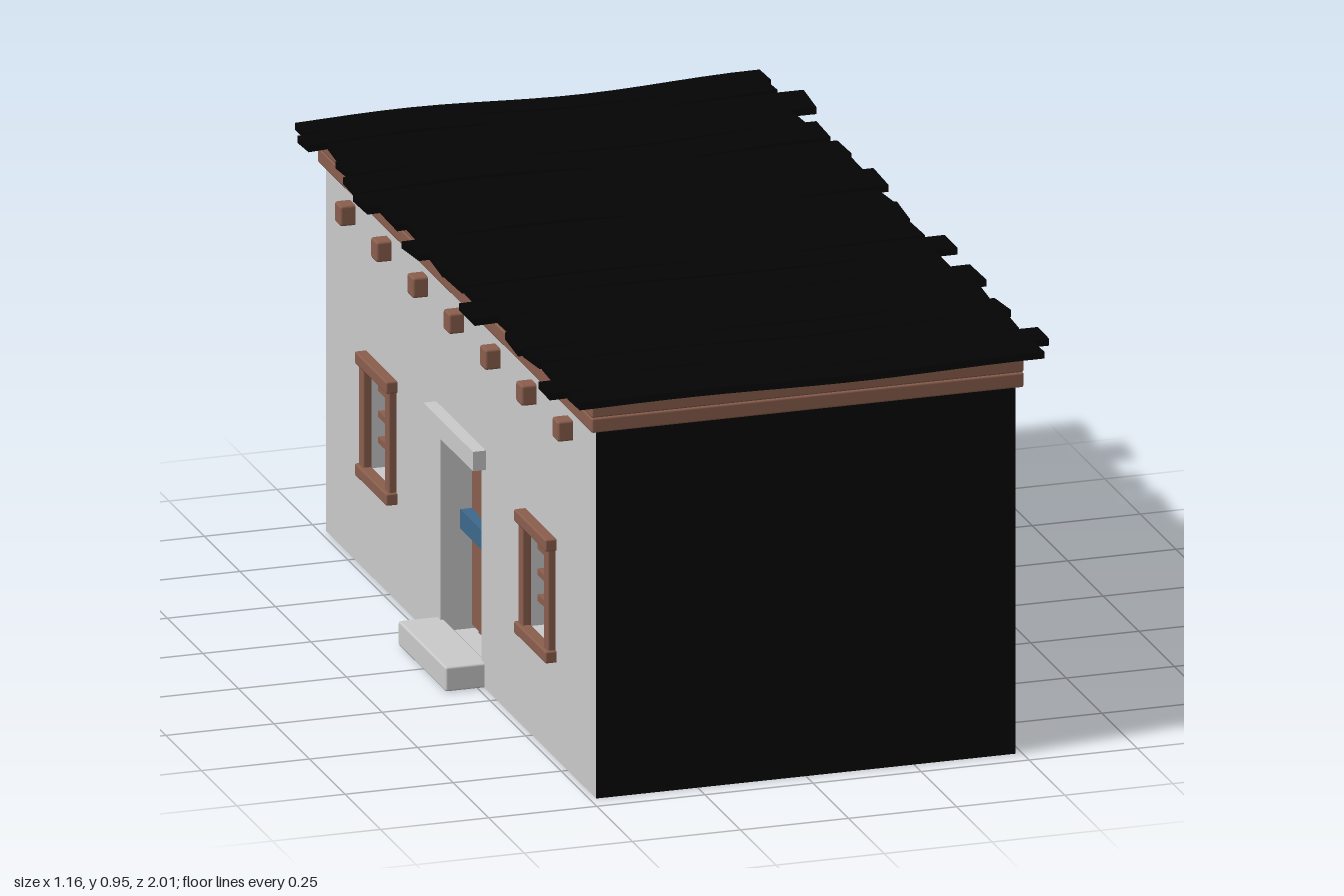
import * as THREE from 'three';
import { RoundedBoxGeometry } from 'three/addons/geometries/RoundedBoxGeometry.js';

const mat = (color, side = THREE.FrontSide) => new THREE.MeshStandardMaterial({ color, side });
const black = mat(0x040404, THREE.DoubleSide);
const stone = mat(0xcccccc);
const stoneThin = mat(0xcccccc, THREE.DoubleSide);
const wood = mat(0x8b5f4e);
const blue = mat(0x3d6a8c);
const orange = mat(0xf9660f, THREE.DoubleSide);

const HX = 0.485, HZ = 0.95, WALL_TOP = 0.9, DEEP = 0.08, SHALLOW = 0.03;

function add(parent, name, geometry, material) {
  const mesh = new THREE.Mesh(geometry, material);
  mesh.name = name;
  parent.add(mesh);
  return mesh;
}

// Box given by its limits on each axis, with optionally softened edges
function box(parent, name, material, [x0, x1], [y0, y1], [z0, z1], bevel = 0) {
  const size = [x1 - x0, y1 - y0, z1 - z0];
  const geometry = bevel ? new RoundedBoxGeometry(...size, 1, bevel) : new THREE.BoxGeometry(...size);
  const mesh = add(parent, name, geometry, material);
  mesh.position.set((x0 + x1) / 2, (y0 + y1) / 2, (z0 + z1) / 2);
  return mesh;
}

// Straight glazing bar between two points of a wall plane
function glazingBar(parent, [ax, ay], [bx, by], width) {
  const mesh = add(parent, 'glazingBar', new THREE.BoxGeometry(Math.hypot(bx - ax, by - ay), width, 0.014), wood);
  mesh.position.set((ax + bx) / 2, (ay + by) / 2, -0.01);
  mesh.rotation.z = Math.atan2(by - ay, bx - ax);
}

// Outline of a round (rise = half width) or pointed arch, counter-clockwise
function archOutline(cx, half, y0, spring, rise, n = 10) {
  const R = (half * half + rise * rise) / (2 * half);
  const end = Math.asin(Math.min(1, rise / R));
  const right = [[half, y0]];
  for (let i = 0; i <= n; i++) {
    const a = (end * i) / n;
    right.push([half - R + R * Math.cos(a), spring + R * Math.sin(a)]);
  }
  const left = right.slice(0, -1).reverse().map(([x, y]) => [-x, y]);
  return [...right, ...left].map(([x, y]) => new THREE.Vector2(cx + x, y));
}

const rectOutline = (cx, half, y0, y1) =>
  [[half, y0], [half, y1], [-half, y1], [-half, y0]].map(([x, y]) => new THREE.Vector2(cx + x, y));

// Wall sheet with openings, in its own plane facing +z
function wallGeometry(halfWidth, outlines = []) {
  const shape = new THREE.Shape(rectOutline(0, halfWidth, 0, WALL_TOP));
  outlines.forEach(o => shape.holes.push(new THREE.Path(o)));
  return new THREE.ShapeGeometry(shape);
}

// Lining that runs inwards from an opening
function lining(parent, name, outline, depth) {
  const loop = [...outline, outline[0]], n = loop.length;
  const plane = new THREE.PlaneGeometry(1, 1, n - 1, 1);
  const pos = plane.attributes.position;
  for (let i = 0; i < pos.count; i++) {
    const p = loop[i % n];
    pos.setXYZ(i, p.x, p.y, i < n ? -depth : 0);
  }
  const geometry = plane.toNonIndexed();
  geometry.computeVertexNormals();
  add(parent, name, geometry, stoneThin);
}

// Raised surround between two arch outlines, open at the foot
function surround(parent, name, outer, inner, depth) {
  const shape = new THREE.Shape([...outer, ...inner.slice().reverse()]);
  add(parent, name, new THREE.ExtrudeGeometry(shape, { depth, bevelEnabled: false }), stone);
}

// Side with the arched door and the pointed window (local x = -z)
function archSide() {
  const g = new THREE.Group();
  g.name = 'archedSide';
  const dx = -0.455, wx = 0.33;
  const doorIn = archOutline(dx, 0.13, 0.002, 0.315, 0.13);
  const winIn = archOutline(wx, 0.08, 0.19, 0.37, 0.14);
  add(g, 'archedSideWall', wallGeometry(HZ, [doorIn, winIn]), black);
  lining(g, 'archedDoorLining', doorIn, SHALLOW);
  lining(g, 'pointedWindowLining', winIn, SHALLOW);
  surround(g, 'archedDoorSurround', archOutline(dx, 0.165, 0, 0.315, 0.17), doorIn, 0.035);
  surround(g, 'pointedWindowSurround', archOutline(wx, 0.1, 0.19, 0.37, 0.17), winIn, 0.02);

  // door planks, cut to the arch, with narrow gaps
  const planks = 10, w = 0.26 / planks;
  for (let i = 0; i < planks; i++) {
    const c = -0.13 + (i + 0.5) * w;
    const top = 0.315 + Math.sqrt(0.0169 - c * c);
    box(g, 'archedDoorPlank', black, [dx + c - w / 2 + 0.001, dx + c + w / 2 - 0.001], [0.003, top], [-0.03, -0.018]);
  }
  box(g, 'archedDoorUpright', blue, [dx - 0.014, dx + 0.014], [0.05, 0.44], [-0.018, -0.004]);
  box(g, 'archedDoorCrossbar', blue, [dx - 0.128, dx + 0.128], [0.205, 0.237], [-0.018, 0.002]);
  for (const y of [0.115, 0.33])
    box(g, 'archedDoorBatten', wood, [dx - 0.128, dx + 0.128], [y - 0.011, y + 0.011], [-0.018, -0.006]);

  // window pane, glazing bars and sill
  const pane = add(g, 'pointedWindowPane', new THREE.ShapeGeometry(new THREE.Shape(winIn)), black);
  pane.position.z = -0.02;
  glazingBar(g, [wx, 0.2], [wx, 0.5], 0.015);
  for (const y of [0.285, 0.385])
    glazingBar(g, [wx - 0.08, y], [wx + 0.08, y], 0.013);
  for (const s of [-1, 1])
    glazingBar(g, [wx, 0.385], [wx + s * 0.058, 0.445], 0.013);
  box(g, 'pointedWindowSill', stone, [wx - 0.122, wx + 0.122], [0.185, 0.2], [-0.02, 0.06]);
  box(g, 'pointedWindowSillBase', stone, [wx - 0.118, wx + 0.118], [0.168, 0.185], [-0.02, 0.035]);
  return g;
}

// Small wooden-framed window on the plain side
function squareWindow(g, cx) {
  const half = 0.085, y0 = 0.245, y1 = 0.49;
  lining(g, 'squareWindowLining', rectOutline(cx, half, y0, y1), DEEP);
  box(g, 'squareWindowPane', orange, [cx - half, cx + half], [y0, y1], [-DEEP, -DEEP + 0.002]);
  for (const s of [-1, 1]) {
    const x = cx + s * 0.09;
    box(g, 'windowPost', wood, [x - 0.016, x + 0.016], [0.235, 0.5], [-0.003, 0.018], 0.004);
  }
  for (const y of [0.238, 0.498])
    box(g, 'windowRail', wood, [cx - 0.112, cx + 0.112], [y - 0.014, y + 0.014], [-0.003, 0.026], 0.004);
  box(g, 'windowMullion', wood, [cx - 0.009, cx + 0.009], [y0, y1], [-0.035, -0.018]);
  for (const y of [0.31, 0.37, 0.43])
    box(g, 'windowBar', wood, [cx - half - 0.004, cx + half + 0.004], [y - 0.007, y + 0.007], [-0.035, -0.02]);
}

// Plain side with the plank door and two windows (local x = z)
function plainSide() {
  const g = new THREE.Group();
  g.name = 'plainSide';
  const door = rectOutline(0, 0.145, 0.03, 0.52), windows = [-0.56, 0.56];
  const openings = [door, ...windows.map(x => rectOutline(x, 0.085, 0.245, 0.49))];
  add(g, 'plainSideWall', wallGeometry(HZ, openings), stoneThin);
  lining(g, 'plankDoorLining', door, DEEP);
  for (let i = 0; i < 5; i++) {
    const x = -0.145 + i * 0.058, set = 0.004 * (i % 2);
    box(g, 'doorPlank', wood, [x + 0.002, x + 0.056], [0.04, 0.515], [-DEEP - 0.008 + set, -DEEP + 0.008 + set]);
  }
  box(g, 'doorCrossbar', blue, [-0.143, 0.143], [0.265, 0.31], [-DEEP + 0.008, -0.045]);
  box(g, 'doorLintel', stone, [-0.175, 0.175], [0.51, 0.555], [-0.03, 0.03]);
  box(g, 'doorStep', stone, [-0.17, 0.165], [0, 0.057], [-0.01, 0.09], 0.005);
  windows.forEach(x => squareWindow(g, x));
  return g;
}

// Roof boards: back edge, front edge, right end and left end of each
const BOARDS = [
  [-1, -0.92, -0.54, 0.535], [-0.915, -0.85, -0.56, 0.525], [-0.835, -0.73, -0.52, 0.58],
  [-0.72, -0.635, -0.535, 0.515], [-0.625, -0.51, -0.555, 0.54], [-0.495, -0.41, -0.57, 0.55],
  [-0.405, -0.29, -0.54, 0.54], [-0.285, -0.17, -0.52, 0.56], [-0.165, -0.07, -0.565, 0.535],
  [-0.065, 0.045, -0.54, 0.54], [0.055, 0.16, -0.54, 0.53], [0.175, 0.265, -0.535, 0.575],
  [0.275, 0.385, -0.58, 0.52], [0.395, 0.49, -0.525, 0.565], [0.5, 0.61, -0.55, 0.54],
  [0.62, 0.71, -0.54, 0.55], [0.72, 0.83, -0.535, 0.535], [0.84, 0.91, -0.58, 0.575], [0.92, 1, -0.54, 0.535],
];

function roof() {
  const g = new THREE.Group();
  g.name = 'roof';
  BOARDS.forEach(([z0, z1, x0, x1], i) => {
    // inner boards nearly touch their neighbours
    const inner = i > 0 && i < BOARDS.length - 1;
    const geo = new THREE.BoxGeometry(x1 - x0, 0.016, z1 - z0 + (inner ? 0.007 : 0), 16, 1, 1);
    const pos = geo.attributes.position;
    // each board is warped, a little tilted and skewed; the back ones bend most
    const warp = (z0 < -0.2 ? 0.008 : 0.004) * (0.7 + 0.3 * Math.sin(i * 2.1));
    const tilt = 0.03 * Math.sin(i * 1.7 + 1);
    for (let k = 0; k < pos.count; k++) {
      const x = pos.getX(k), z = pos.getZ(k);
      pos.setY(k, pos.getY(k) + warp * Math.sin(x * 8 + 3.73) + tilt * z);
      pos.setZ(k, z + 0.003 * Math.cos(x * 5 + i * 0.4));
      pos.setX(k, x + 0.07 * Math.sin(i * 2.6) * z);
    }
    geo.computeVertexNormals();
    add(g, 'roofBoard', geo, black).position.set((x0 + x1) / 2, 0.933, (z0 + z1) / 2);
  });
  return g;
}

export function createModel() {
  const model = new THREE.Group();
  model.name = 'house';

  // end walls
  for (const s of [1, -1]) {
    const wall = add(model, s > 0 ? 'frontWall' : 'backWall', wallGeometry(HX), black);
    wall.position.z = s * HZ;
    wall.rotation.y = s > 0 ? 0 : Math.PI;
  }
  // long sides
  const arched = archSide(), plain = plainSide();
  arched.position.x = HX;
  arched.rotation.y = Math.PI / 2;
  plain.position.x = -HX;
  plain.rotation.y = -Math.PI / 2;
  model.add(arched, plain);

  // two rows of trim boards under the roof
  for (const [y0, y1] of [[0.854, 0.889], [0.889, 0.924]])
    for (const s of [-1, 1]) {
      const x = [s * 0.484, s * 0.5].sort((a, b) => a - b), z = [s * 0.949, s * 0.965].sort((a, b) => a - b);
      box(model, 'sideTrim', wood, x, [y0, y1], [-0.965, 0.965], 0.005);
      box(model, 'endTrim', wood, [-0.499, 0.499], [y0, y1], z, 0.005);
    }

  // ceiling beams with ends showing through the long walls
  for (let i = -3; i <= 3; i++) {
    const z = i * 0.255;
    box(model, 'ceilingBeam', wood, [-0.52, 0.52], [0.777, 0.825], [z - 0.022, z + 0.022], 0.006);
  }

  model.add(roof());
  return model;
}
